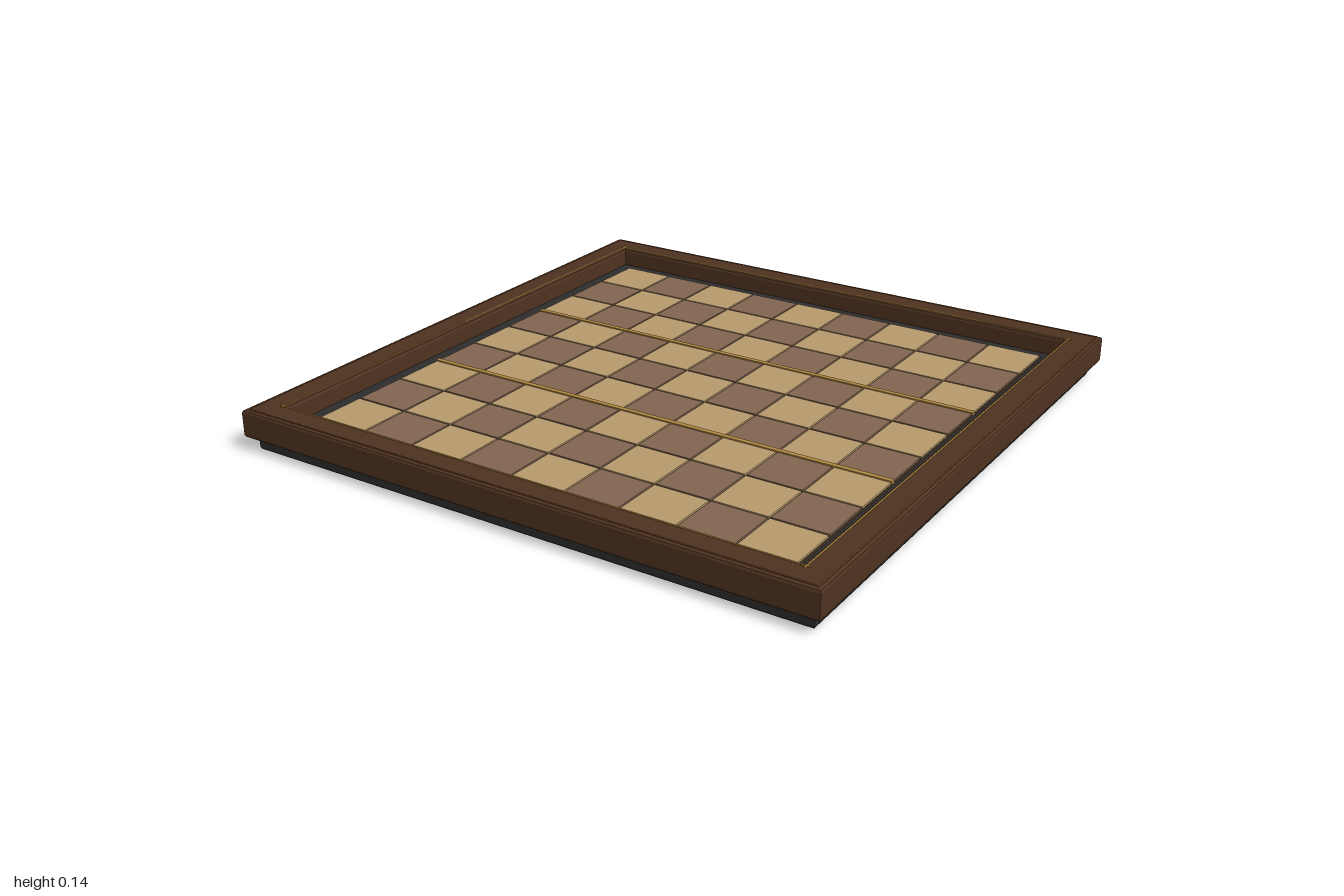
import * as THREE from 'three';

const mat = (name, color) => {
  const m = new THREE.MeshStandardMaterial({ color });
  m.name = name;
  return m;
};

// Counter-clockwise square outline with half-size h
function square(h, PathType = THREE.Shape) {
  const p = new PathType();
  p.moveTo(-h, -h);
  p.lineTo(h, -h);
  p.lineTo(h, h);
  p.lineTo(-h, h);
  p.closePath();
  return p;
}

// Square slab or ring, lying flat between y0 and y1, with bevelled edges
function slab(outer, inner, y0, y1, bevel) {
  const shape = square(outer - bevel);
  if (inner) shape.holes.push(square(inner + bevel, THREE.Path));
  const geo = new THREE.ExtrudeGeometry(shape, {
    depth: y1 - y0 - 2 * bevel,
    bevelEnabled: bevel > 0,
    bevelThickness: bevel,
    bevelSize: bevel,
    bevelSegments: 2,
  });
  geo.rotateX(-Math.PI / 2);
  geo.translate(0, y0 + bevel, 0);
  return geo;
}

export function createModel() {
  const model = new THREE.Group();
  model.name = 'gameBoard';

  const walnut = mat('walnut frame', 0x4f3320);
  const edging = mat('light walnut edging', 0x6d4526);
  const charcoal = mat('charcoal base', 0x2d2d2d);
  const grout = mat('dark tile bed', 0x4a3a2c);
  const lightWood = mat('light tile', 0xb89b6e);
  const darkWood = mat('dark tile', 0x826651);
  const brass = mat('brass inlay', 0xb08840);

  const add = (name, geo, material, parent = model) => {
    const mesh = new THREE.Mesh(geo, material);
    mesh.name = name;
    parent.add(mesh);
    return mesh;
  };
  const box = (name, w, h, d, x, y, z, material, parent) =>
    add(name, new THREE.BoxGeometry(w, h, d), material, parent).position.set(x, y, z);

  // Base, inner floor and raised frame
  add('base', slab(0.97, 0, 0, 0.05, 0.01), charcoal);
  add('floor', slab(0.905, 0, 0.045, 0.075, 0), charcoal);
  add('frame', slab(1, 0.9, 0.045, 0.138, 0.01), walnut);

  // Thin inlay strips on top of the frame, crossing slightly at the corners
  const strips = (name, offset, half, width, material) => {
    const group = new THREE.Group();
    group.name = name;
    for (const s of [-1, 1]) {
      box('stripAcross', 2 * half, 0.004, width, 0, 0.138, s * offset, material, group);
      box('stripAlong', width, 0.004, 2 * half, s * offset, 0.138, 0, material, group);
    }
    model.add(group);
  };
  strips('innerInlay', 0.912, 0.925, 0.005, brass);
  strips('outerEdging', 0.985, 0.985, 0.005, edging);

  // Nine by nine chequered tiles on a dark bed
  const count = 9, half = 0.845, pitch = (2 * half) / count;
  box('tileBed', 2 * half, 0.012, 2 * half, 0, 0.076, 0, grout);
  const tiles = new THREE.Group();
  tiles.name = 'tiles';
  model.add(tiles);
  const tileGeo = new THREE.BoxGeometry(pitch - 0.006, 0.012, pitch - 0.006);
  for (let row = 0; row < count; row++) {
    for (let col = 0; col < count; col++) {
      const light = (row + col) % 2 === 0;
      const tile = add(light ? 'lightTile' : 'darkTile', tileGeo, light ? lightWood : darkWood, tiles);
      tile.position.set((col - 4) * pitch, 0.082, (row - 4) * pitch);
    }
  }

  // Brass bars dividing the board into three zones
  for (const s of [-1, 1]) {
    box('zoneDivider', 2 * half, 0.01, 0.017, 0, 0.087, s * 1.5 * pitch, brass);
  }
  return model;
}
